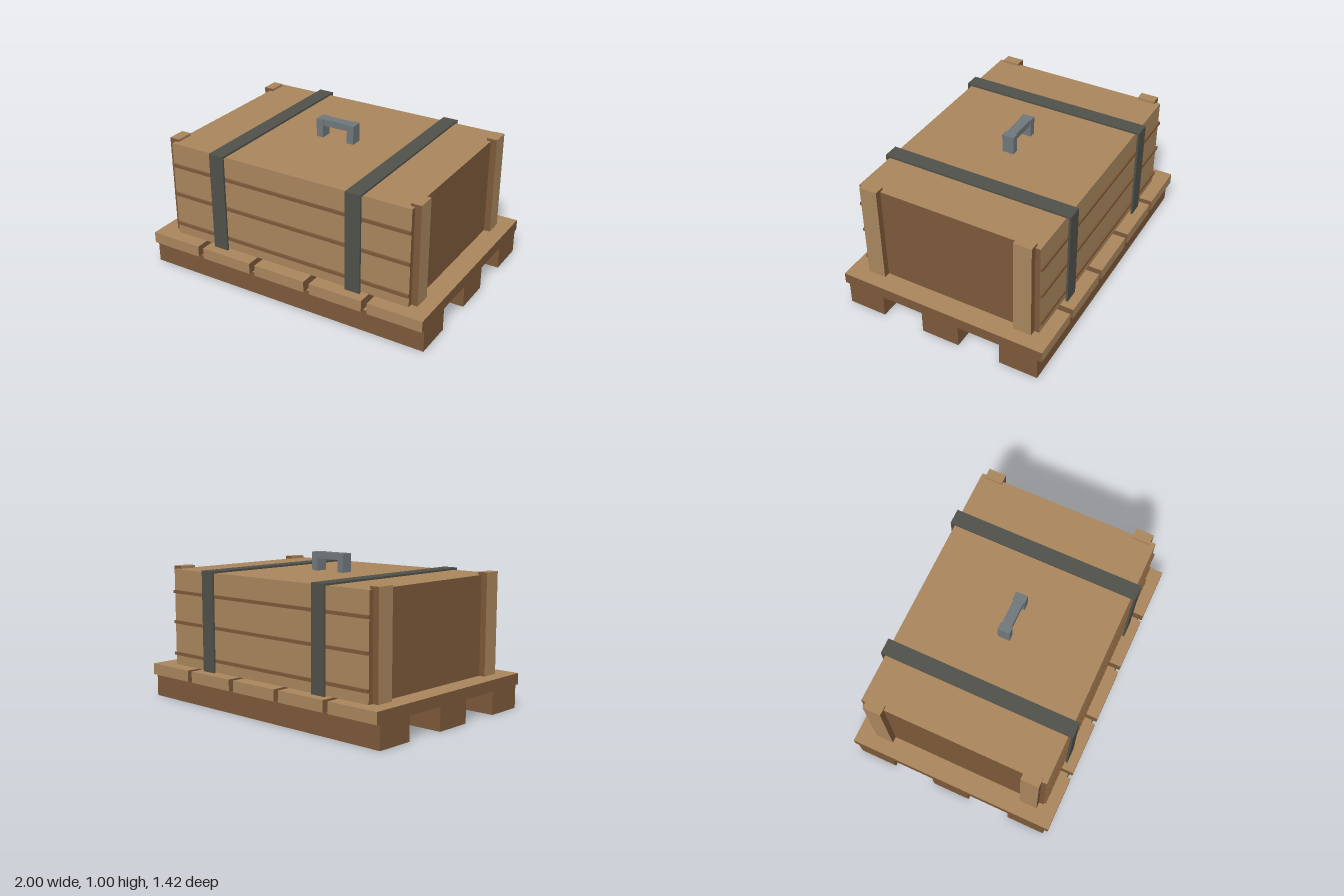
import * as THREE from 'three';

const mat = (name, color) => {
  const m = new THREE.MeshStandardMaterial({ color });
  m.name = name;
  return m;
};

export function createModel() {
  const light = mat('lightWood', 0xa9865d);
  const dark = mat('darkWood', 0x7c5939);
  const iron = mat('strapIron', 0x50514a);
  const steel = mat('handleSteel', 0x70787c);

  // material order: +x, -x, +y, -y, +z, -z
  const darkEnds = [dark, dark, light, light, light, light];
  const postFaces = [light, light, light, light, dark, dark];
  const runnerFaces = [dark, dark, light, dark, dark, dark];

  // box given by its limits on each axis
  const box = (parent, name, material, [x0, x1], [y0, y1], [z0, z1]) => {
    const mesh = new THREE.Mesh(new THREE.BoxGeometry(x1 - x0, y1 - y0, z1 - z0), material);
    mesh.position.set((x0 + x1) / 2, (y0 + y1) / 2, (z0 + z1) / 2);
    mesh.name = name;
    parent.add(mesh);
  };
  const group = (name) => {
    const g = new THREE.Group();
    g.name = name;
    model.add(g);
    return g;
  };
  const model = new THREE.Group();
  model.name = 'crateOnPallet';

  // pallet: three runners under five deck boards
  const pallet = group('pallet');
  for (const z of [-0.55, 0, 0.55])
    box(pallet, 'runner', runnerFaces, [-1, 1], [0, 0.152], [z - 0.13, z + 0.13]);
  for (let i = -2; i <= 2; i++) {
    const x = i * 0.408;
    box(pallet, 'deckBoard', darkEnds, [x - 0.184, x + 0.184], [0.152, 0.227], [-0.71, 0.71]);
  }

  // crate body with horizontal battens on front and back
  const crate = group('crate');
  box(crate, 'crateBody', darkEnds, [-0.862, 0.862], [0.227, 0.877], [-0.618, 0.618]);
  for (const y of [0.305, 0.521, 0.726])
    for (const s of [-1, 1])
      box(crate, 'batten', dark, [-0.862, 0.862], [y - 0.01, y + 0.01], [s * 0.625 - 0.007, s * 0.625 + 0.007]);

  // corner posts on both ends
  for (const sx of [-1, 1])
    for (const sz of [-1, 1])
      box(crate, 'cornerPost', postFaces,
        [sx * 0.87 - 0.034, sx * 0.87 + 0.034], [0.227, 0.895], [sz * 0.525 - 0.06, sz * 0.525 + 0.06]);

  // straps over the lid and down both long sides
  const straps = group('straps');
  for (const x of [-0.492, 0.492]) {
    const w = [x - 0.052, x + 0.052];
    box(straps, 'strapTop', iron, w, [0.877, 0.89], [-0.647, 0.647]);
    for (const s of [-1, 1])
      box(straps, 'strapSide', iron, w, [0.227, 0.877], [s * 0.64 - 0.007, s * 0.64 + 0.007]);
  }

  // carrying handle on the lid
  const handle = group('handle');
  for (const s of [-1, 1])
    box(handle, 'handleLeg', steel, [s * 0.113 - 0.024, s * 0.113 + 0.024], [0.877, 1], [-0.04, 0.04]);
  box(handle, 'handleBar', steel, [-0.089, 0.089], [0.957, 1], [-0.033, 0.033]);

  return model;
}
